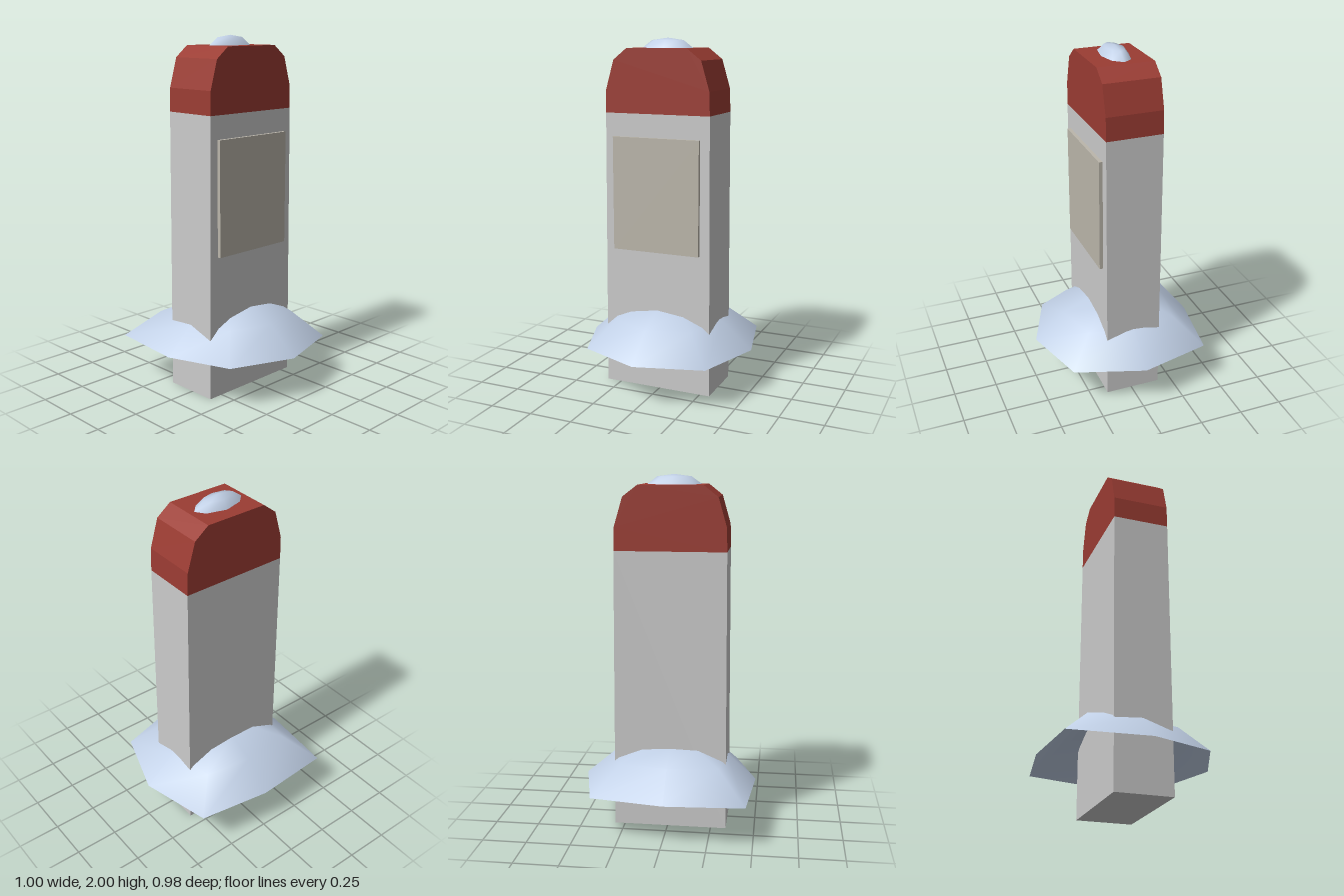
import * as THREE from 'three';

const mat = (color, side = THREE.FrontSide) => new THREE.MeshStandardMaterial({ color, side });

// Front outline extruded from zBack to zFront
function slab(name, outline, zBack, zFront, color) {
  const shape = new THREE.Shape(outline.map(([x, y]) => new THREE.Vector2(x, y)));
  const geo = new THREE.ExtrudeGeometry(shape, { depth: zFront - zBack, bevelEnabled: false });
  geo.translate(0, 0, zBack);
  const mesh = new THREE.Mesh(geo, mat(color));
  mesh.name = name;
  return mesh;
}

// Open smooth dome: an irregular rim shrunk towards its centre, ring by ring
function dome(name, rim, [cx, cz], rings, apexY, color) {
  const pos = [], index = [], n = rim.length;
  for (const [scale, y] of rings) {
    for (const [x, z] of rim) pos.push(cx + (x - cx) * scale, y, cz + (z - cz) * scale);
  }
  pos.push(cx, apexY, cz);
  const apex = rings.length * n;
  for (let r = 0; r < rings.length; r++) {
    for (let i = 0; i < n; i++) {
      const j = (i + 1) % n, a = r * n + i, b = r * n + j;
      if (r === rings.length - 1) index.push(a, apex, b);
      else index.push(a, a + n, b, b, a + n, b + n);
    }
  }
  const geo = new THREE.BufferGeometry();
  geo.setAttribute('position', new THREE.Float32BufferAttribute(pos, 3));
  geo.setIndex(index);
  geo.computeVertexNormals();
  const mesh = new THREE.Mesh(geo, mat(color, THREE.DoubleSide));
  mesh.name = name;
  return mesh;
}

export function createModel() {
  const group = new THREE.Group();
  group.name = 'milestone';
  const back = -0.172, front = 0.15, stone = 0xc0cfe5;

  // Slightly tapered post
  group.add(slab('post', [[-0.337, 0], [0.308, 0], [0.297, 1.59], [-0.325, 1.59]], back, front, 0xcccccc));

  // Red cap with rounded shoulders
  group.add(slab('cap', [
    [-0.325, 1.59], [0.297, 1.59], [0.293, 1.72], [0.245, 1.882],
    [0.163, 1.945], [-0.195, 1.945], [-0.275, 1.882], [-0.322, 1.72],
  ], back, front, 0x9b3c33));

  // Plate on the front face
  group.add(slab('plate', [[-0.275, 0.815], [0.243, 0.815], [0.243, 1.46], [-0.275, 1.46]], front, 0.17, 0xbbb6ab));

  // Mound around the foot; rim runs clockwise seen from below
  group.add(dome('mound', [
    [0.5, -0.015], [0.4, -0.425], [-0.015, -0.49], [-0.46, -0.46],
    [-0.5, -0.015], [-0.37, 0.34], [-0.015, 0.485], [0.37, 0.375],
  ].reverse(), [-0.015, -0.012], [[1, 0.25], [0.65, 0.403], [0.33, 0.469]], 0.49, stone));

  // Small pebble on top of the cap
  group.add(dome('pebble', [
    [0.133, -0.015], [0.095, -0.068], [-0.015, -0.097], [-0.125, -0.065],
    [-0.175, -0.015], [-0.13, 0.04], [-0.015, 0.06], [0.085, 0.037],
  ].reverse(), [-0.018, -0.015], [[1, 1.944], [0.62, 1.987]], 2, stone));

  return group;
}
